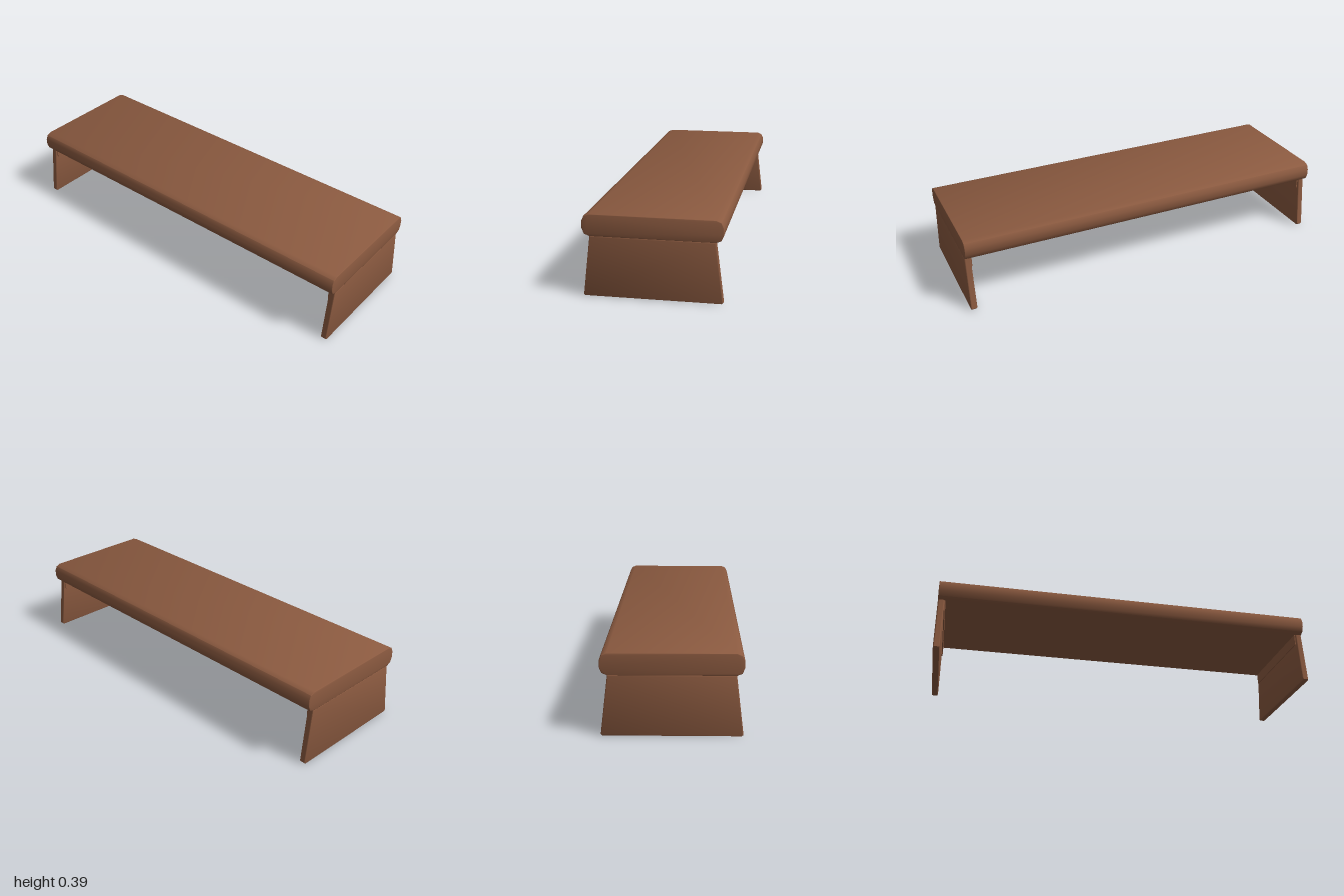
import * as THREE from 'three';
import { toCreasedNormals } from 'three/addons/utils/BufferGeometryUtils.js';

// Extrude a z-y half profile, mirrored in z, along x and centre it
function slab(half, width, bevel, crease) {
  const pts = [...half, ...half.map(([z, y]) => [-z, y]).reverse()];
  const shape = new THREE.Shape(pts.map(([z, y]) => new THREE.Vector2(z, y)));
  const geo = new THREE.ExtrudeGeometry(shape, {
    depth: width - 2 * bevel, bevelEnabled: true, bevelThickness: bevel,
    bevelSize: bevel, bevelOffset: -bevel, bevelSegments: 2, steps: 1,
  });
  geo.translate(0, 0, bevel - width / 2);
  geo.rotateY(Math.PI / 2);
  return toCreasedNormals(geo, crease);
}

export function createModel() {
  const group = new THREE.Group();
  const wood = new THREE.MeshStandardMaterial({ color: 0x8b5a40 });
  wood.name = 'brown wood';

  const add = (name, geo, x = 0, y = 0) => {
    const mesh = new THREE.Mesh(geo, wood);
    mesh.name = name;
    mesh.position.set(x, y, 0);
    group.add(mesh);
  };

  // Thick top with rounded long edges
  add('tableTop', slab([
    [0.29, 0.29], [0.314, 0.3], [0.325, 0.326],
    [0.325, 0.36], [0.314, 0.384], [0.29, 0.394],
  ], 2, 0.003, 0.8));

  // Flared panel legs with softened edges, and a slim brace under the top
  const legGeo = slab([[0.318, 0], [0.325, 0.007], [0.29, 0.293]], 0.034, 0.007, 0.8);
  const braceGeo = new THREE.BoxGeometry(0.006, 0.06, 0.57);
  for (const [side, s] of [['left', 1], ['right', -1]]) {
    add(side + 'Leg', legGeo, s * 0.983);
    add(side + 'Brace', braceGeo, s * 0.964, 0.262);
  }
  return group;
}
